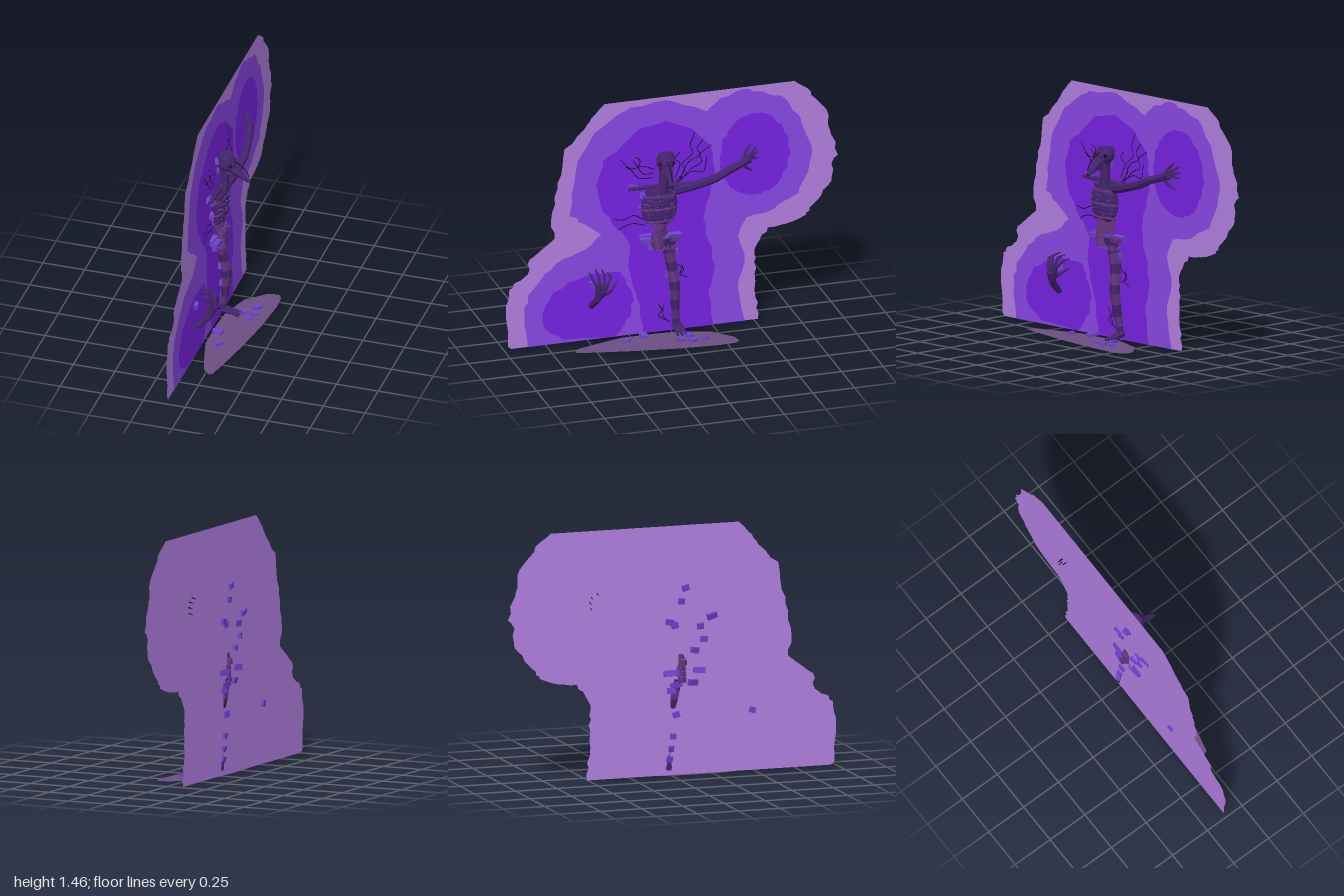
import * as THREE from 'three';

const mat = (name, color, extra = {}) => Object.assign(new THREE.MeshStandardMaterial({ color, ...extra }), { name });
const V = (a) => new THREE.Vector3(...a);

export function createModel() {
  const root = new THREE.Group();
  root.name = 'skeletalFigure';
  const flat = { flatShading: true }, both = { side: THREE.DoubleSide };
  const haloPale = mat('pale violet', 0xb37fe2, both);
  const haloMid = mat('mid violet', 0x8a48e6, both);
  const haloDeep = mat('deep violet', 0x7822e4, both);
  const ground = mat('dusky ground', 0x6c4e84, both);
  const bone = mat('dark bone', 0x43246c, flat);
  const plum = mat('plum bone', 0x62347e, flat);
  const rock = mat('violet rock', 0x7042cc, flat);
  const ink = mat('ink', 0x1c1028, flat);

  let seed = 7;
  const rnd = () => (seed = (seed * 16807) % 2147483647) / 2147483647;
  const add = (name, geo, material, pos = [0, 0, 0], rot = [0, 0, 0], scale = [1, 1, 1], parent = root) => {
    const m = new THREE.Mesh(geo, material);
    m.name = name;
    m.position.set(...pos);
    m.rotation.set(...rot);
    m.scale.set(...scale);
    parent.add(m);
    return m;
  };
  // Chain of tapered segments cycling through materials; each point is [x, y, z, radius]
  const limb = (name, pts, materials, sides = 6) => {
    const g = new THREE.Group();
    g.name = name;
    root.add(g);
    for (let i = 0; i < pts.length - 1; i++) {
      const a = V(pts[i].slice(0, 3)), b = V(pts[i + 1].slice(0, 3)), d = b.clone().sub(a);
      const geo = new THREE.CylinderGeometry(pts[i + 1][3], pts[i][3], d.length() * 1.08, sides);
      const m = add(name + 'Segment', geo, materials[i % materials.length],
        a.clone().add(b).multiplyScalar(0.5).toArray(), [0, 0, 0], [1, 1, 1], g);
      m.quaternion.setFromUnitVectors(new THREE.Vector3(0, 1, 0), d.normalize());
    }
  };
  const block = (name, pos, size, material = rock, tilt = 0.3) =>
    add(name, new THREE.BoxGeometry(...size), material, pos, [0, 1, 2].map(() => (rnd() - 0.5) * 2 * tilt));
  // Flat hair-thin tendril lying against the halo, points given as [y, z]
  const tendril = (pts) => {
    const curve = new THREE.CatmullRomCurve3(pts.map(([y, z]) => new THREE.Vector3(0, y, z)));
    add('tendril', new THREE.TubeGeometry(curve, 16, 0.0026, 4), ink, [-0.105, 0, 0], [0, 0, 0], [0.1, 1, 1]);
  };

  // Upright layered halo, outlines given as [-z, y]; sloping edges are broken into small ragged steps
  const ragged = (o) => o.flatMap(([x, y], i) => {
    const [x2, y2] = o[(i + 1) % o.length];
    const steps = y === y2 ? [0] : [0, 0.33, 0.67];
    return steps.map((t) => new THREE.Vector2(
      x + (x2 - x) * t + (t ? (rnd() - 0.5) * 0.022 : 0), y + (y2 - y) * t + (t ? (rnd() - 0.5) * 0.014 : 0)));
  });
  const sheet = (name, x, material, outlines) =>
    add(name, new THREE.ShapeGeometry(outlines.map((o) => new THREE.Shape(ragged(o)))).rotateY(Math.PI / 2), material, [x, 0, 0]);
  sheet('outerHalo', -0.114, haloPale, [[
    [-0.96, 0.01], [-0.98, 0.04], [-0.99, 0.28], [-0.97, 0.38], [-0.93, 0.42], [-0.86, 0.46], [-0.85, 0.55], [-0.78, 0.6],
    [-0.7, 0.66], [-0.72, 0.78], [-0.7, 0.92], [-0.66, 1.05], [-0.64, 1.21], [-0.52, 1.32], [-0.48, 1.38],
    [-0.4, 1.46], [0.74, 1.46], [0.81, 1.41], [0.84, 1.36], [0.93, 1.26], [0.94, 1.16], [0.97, 1.08], [1, 0.97],
    [0.96, 0.92], [0.96, 0.81], [0.9, 0.73], [0.83, 0.66], [0.81, 0.62], [0.69, 0.58], [0.58, 0.57],
    [0.53, 0.5], [0.5, 0.41], [0.51, 0.33], [0.5, 0.2], [0.52, 0.11], [0.52, 0.01]]]);
  sheet('middleHalo', -0.111, haloMid, [[
    [-0.86, 0.01], [-0.88, 0.22], [-0.86, 0.33], [-0.76, 0.45], [-0.65, 0.53], [-0.52, 0.57], [-0.42, 0.65],
    [-0.52, 0.73], [-0.61, 0.79], [-0.6, 0.92], [-0.56, 1.13], [-0.46, 1.29], [-0.33, 1.38], [-0.25, 1.42],
    [-0.03, 1.44], [0.13, 1.38], [0.21, 1.34], [0.29, 1.41], [0.42, 1.45], [0.55, 1.42], [0.66, 1.38],
    [0.77, 1.24], [0.84, 1.05], [0.82, 0.89], [0.76, 0.76], [0.61, 0.68], [0.45, 0.65], [0.4, 0.54],
    [0.44, 0.38], [0.4, 0.22], [0.44, 0.01]]]);
  const armGlow = Array.from({ length: 18 }, (_, i) => {
    const a = i / 18 * Math.PI * 2;
    return [0.5 + Math.cos(a) * 0.21, 1.04 + Math.sin(a) * 0.255];
  });
  sheet('innerHalo', -0.108, haloDeep, [
    [[-0.17, 0.01], [-0.19, 0.14], [-0.22, 0.28], [-0.26, 0.44], [-0.25, 0.57], [-0.33, 0.68], [-0.41, 0.79],
      [-0.45, 0.97], [-0.41, 1.11], [-0.3, 1.19], [-0.2, 1.28], [-0.03, 1.31], [0.13, 1.24], [0.23, 1.13],
      [0.26, 0.97], [0.23, 0.81], [0.19, 0.68], [0.22, 0.54], [0.26, 0.38], [0.22, 0.22], [0.25, 0.01]],
    [[-0.35, 0.01], [-0.65, 0.03], [-0.76, 0.11], [-0.77, 0.22], [-0.71, 0.33], [-0.62, 0.38], [-0.46, 0.42],
      [-0.31, 0.41], [-0.27, 0.32], [-0.23, 0.25], [-0.24, 0.16], [-0.28, 0.08]],
    armGlow]);

  // Lens-shaped ground sheet, [x, z]
  const floorEdge = [[0.14, -0.33], [0.08, -0.32], [-0.03, -0.22], [-0.09, -0.05], [-0.1, 0.1], [-0.1, 0.3],
    [-0.06, 0.45], [-0.02, 0.58], [0.02, 0.62], [0.04, 0.61], [0.07, 0.48], [0.11, 0.28], [0.15, 0.03], [0.17, -0.2], [0.165, -0.3]];
  const floorShape = new THREE.Shape(floorEdge.map(([x, z]) => new THREE.Vector2(x, -z)));
  add('ground', new THREE.ShapeGeometry(floorShape).rotateX(-Math.PI / 2), ground, [0, 0.002, 0]);
  [[0.07, -0.14], [0.08, -0.07], [0.01, -0.07], [-0.02, -0.05], [0.06, -0.01], [-0.05, 0.18], [-0.02, 0.3], [-0.08, 0.18]]
    .forEach(([x, z]) => add('groundStone', new THREE.BoxGeometry(0.042, 0.015, 0.03), rock, [x, 0.016, z], [0, rnd() * 2, 0]));

  // Head: blocky flat-topped skull, long drooping snout and jaw
  add('skull', new THREE.SphereGeometry(0.055, 9, 7), bone, [-0.052, 1.08, 0.055], [0, 0, -0.15], [1.1, 0.95, 0.95]);
  add('crown', new THREE.CylinderGeometry(0.044, 0.054, 0.03, 7), bone, [-0.056, 1.113, 0.053], [0.12, 0, 0.05], [1, 1, 1.15]);
  limb('snout', [[-0.035, 1.065, 0.055, 0.038], [0.025, 1.022, 0.055, 0.024], [0.082, 0.983, 0.055, 0.012]], [bone], 7);
  limb('browHorn', [[-0.01, 1.105, 0.055, 0.004], [0.04, 1.072, 0.055, 0.0035], [0.07, 1.04, 0.055, 0.0035], [0.083, 1.01, 0.055, 0.003]], [ink], 5);
  limb('jaw', [[-0.09, 1.03, 0.06, 0.02], [-0.04, 1.025, 0.06, 0.02], [0.0, 1.012, 0.06, 0.01]], [plum]);
  for (const s of [-1, 1]) add('eyeSocket', new THREE.SphereGeometry(0.012, 6, 5), ink, [-0.018, 1.085, 0.055 + s * 0.038]);
  limb('neck', [[-0.07, 0.9, 0.07, 0.038], [-0.062, 0.96, 0.062, 0.028], [-0.062, 1.05, 0.058, 0.03]], [bone], 7);

  // Rib cage with stacked rib hoops
  add('chest', new THREE.SphereGeometry(1, 12, 9), bone, [-0.076, 0.8, 0.083], [0, 0, 0], [0.037, 0.122, 0.108]);
  for (let i = 0; i < 8; i++) {
    const y = 0.712 + i * 0.026, w = Math.sqrt(1 - ((y - 0.805) / 0.145) ** 2);
    add('rib', new THREE.TorusGeometry(1, 0.05, 5, 18).rotateX(Math.PI / 2), i % 3 ? bone : plum,
      [-0.076, y, 0.083], [0, 0, 0.1], [0.0365 * w, 0.15, 0.106 * w]);
  }
  limb('collarbone', [[-0.085, 0.925, 0.26, 0.012], [-0.078, 0.925, 0.1, 0.016], [-0.075, 0.915, -0.05, 0.022]], [bone]);
  // Bright flecks on the chest
  for (let i = 0; i < 34; i++) {
    const a = (rnd() - 0.5) * 2.4, y = (rnd() - 0.5) * 1.4, r = Math.sqrt(1 - y * y);
    add('chestFleck', new THREE.BoxGeometry(0.005, 0.005, 0.009), i % 2 ? rock : plum,
      [-0.074 + 0.039 * r * Math.cos(a), 0.8 + y * 0.122, 0.083 + 0.109 * r * Math.sin(a)], [rnd(), 0, 0]);
  }

  // Blocky spine and hips
  for (let i = 0; i < 5; i++)
    add('vertebra', new THREE.CylinderGeometry(0.05, 0.054, 0.031, 8), plum,
      [-0.085, 0.56 + i * 0.034, 0.075], [0, rnd(), 0], [0.55, 1, 1.2]);
  add('hips', new THREE.CylinderGeometry(0.07, 0.05, 0.07, 8), bone, [-0.085, 0.565, 0.055], [0, 0, 0], [0.45, 1, 1.2]);

  // Single leg and foot
  limb('leg', [[-0.09, 0.56, 0.03, 0.034], [-0.092, 0.51, 0.018, 0.037], [-0.093, 0.45, 0.008, 0.034], [-0.085, 0.39, 0, 0.03],
    [-0.075, 0.33, -0.004, 0.031], [-0.072, 0.28, -0.008, 0.031], [-0.08, 0.22, -0.012, 0.028], [-0.088, 0.15, -0.016, 0.025],
    [-0.098, 0.09, -0.02, 0.022], [-0.102, 0.04, -0.024, 0.021]], [bone, plum], 7);
  for (const dz of [-0.016, 0, 0.016])
    limb('toe', [[-0.102, 0.045, -0.026 + dz * 0.7, 0.02], [-0.05, 0.035, -0.03 + dz, 0.014], [0, 0.02, -0.03 + dz * 1.6, 0.007]], [bone], 5);

  // Raised arm and spread hand with claws
  limb('raisedArm', [[-0.075, 0.895, -0.01, 0.034], [-0.055, 0.91, -0.1, 0.027], [-0.046, 0.928, -0.17, 0.025], [-0.04, 0.948, -0.24, 0.025],
    [-0.045, 0.985, -0.32, 0.024], [-0.06, 1.01, -0.4, 0.022], [-0.075, 1.03, -0.45, 0.028]], [bone], 7);
  [[1.1, -0.47], [1.08, -0.505], [1.05, -0.515], [1.015, -0.51]].forEach(([y, z]) => {
    limb('raisedFinger', [[-0.072, 1.02 + (y - 1.03) * 0.3, -0.43, 0.013], [-0.087, (y + 1.035) / 2, z + 0.035, 0.01], [-0.106, y, z, 0.005]], [bone], 5);
    limb('claw', [[-0.147, y, z, 0.004], [-0.172, y - 0.005, z, 0.002]], [ink], 4);
  });
  limb('raisedThumb', [[-0.07, 1.01, -0.41, 0.012], [-0.08, 0.975, -0.44, 0.009], [-0.1, 0.945, -0.48, 0.005]], [bone], 5);

  // Separate hand reaching up with curled fingers
  limb('lowForearm', [[-0.095, 0.225, 0.485, 0.018], [-0.05, 0.265, 0.475, 0.02], [-0.022, 0.3, 0.465, 0.021], [-0.012, 0.35, 0.455, 0.033]], [bone], 7);
  [[0.5, 0.435], [0.465, 0.452], [0.425, 0.445], [0.39, 0.425]].forEach(([z, y]) =>
    limb('lowFinger', [[-0.01, 0.335, 0.455 + (z - 0.45) * 0.3, 0.013], [-0.005, 0.385, 0.45 + (z - 0.45) * 0.6, 0.01],
      [-0.03, y - 0.01, z, 0.008], [-0.085, y, z, 0.004]], [bone], 5));
  limb('lowThumb', [[-0.015, 0.315, 0.445, 0.013], [-0.005, 0.345, 0.395, 0.01], [-0.04, 0.38, 0.35, 0.004]], [bone], 5);

  // Rock slabs wedged along the body, [y, z, width along z]
  [[1.095, 0.075, 0.04], [1.02, 0.05, 0.035], [0.925, 0.235, 0.06], [0.9, -0.02, 0.05], [0.88, 0.01, 0.04], [0.87, 0.17, 0.04],
    [0.79, 0.185, 0.04], [0.73, 0.13, 0.05], [0.61, 0.16, 0.07], [0.6, -0.01, 0.09], [0.545, 0.12, 0.06], [0.535, 0.02, 0.07],
    [0.5, -0.01, 0.05], [0.36, 0.02, 0.04], [0.235, 0, 0.035], [0.165, -0.012, 0.03], [0.105, -0.02, 0.035], [0.36, 0.48, 0.035]]
    .forEach(([y, z, w]) => block('rockSlab', [-0.107, y, z], [0.04, 0.034, w]));
  // Slabs crossing the hips
  [[0.6, 0.17], [0.585, 0.11], [0.605, 0.06], [0.59, -0.01], [0.545, 0.085], [0.54, 0.02]].forEach(([y, z], i) =>
    block('hipSlab', [-0.078, y, z], [0.04, 0.026, 0.06], i % 2 ? plum : rock, 0.12));

  // Thin tendrils against the halo
  [[[1.02, 0.1], [1.05, 0.18], [1.04, 0.24], [1.11, 0.31]], [[1.0, 0.11], [1.0, 0.17], [1.06, 0.21], [1.09, 0.23]],
    [[0.97, 0.11], [0.98, 0.2], [1.03, 0.24], [1.06, 0.28]], [[1.04, 0.2], [1.09, 0.19], [1.11, 0.22]],
    [[0.92, -0.02], [1.0, -0.08], [1.03, -0.06], [1.1, -0.13], [1.14, -0.11], [1.22, -0.14]],
    [[0.92, -0.04], [1.0, -0.12], [1.03, -0.18], [1.08, -0.17], [1.13, -0.24]],
    [[0.94, -0.05], [1.04, -0.1], [1.08, -0.17], [1.12, -0.15], [1.17, -0.19]],
    [[0.93, -0.03], [0.98, -0.13], [0.97, -0.19], [1.06, -0.21]], [[0.95, -0.02], [1.04, -0.05], [1.07, -0.02], [1.11, -0.05]],
    [[0.72, 0.17], [0.75, 0.23], [0.73, 0.29], [0.74, 0.35]], [[0.68, 0.16], [0.7, 0.23], [0.69, 0.28], [0.67, 0.32]],
    [[0.42, -0.02], [0.39, -0.06], [0.35, -0.05], [0.33, -0.09]], [[0.34, -0.02], [0.37, -0.07], [0.41, -0.06]],
    [[0.07, 0.02], [0.11, 0.08], [0.14, 0.06], [0.18, 0.08]], [[0.06, 0.01], [0.1, 0.05], [0.17, 0.05]]].forEach(tendril);
  return root;
}
